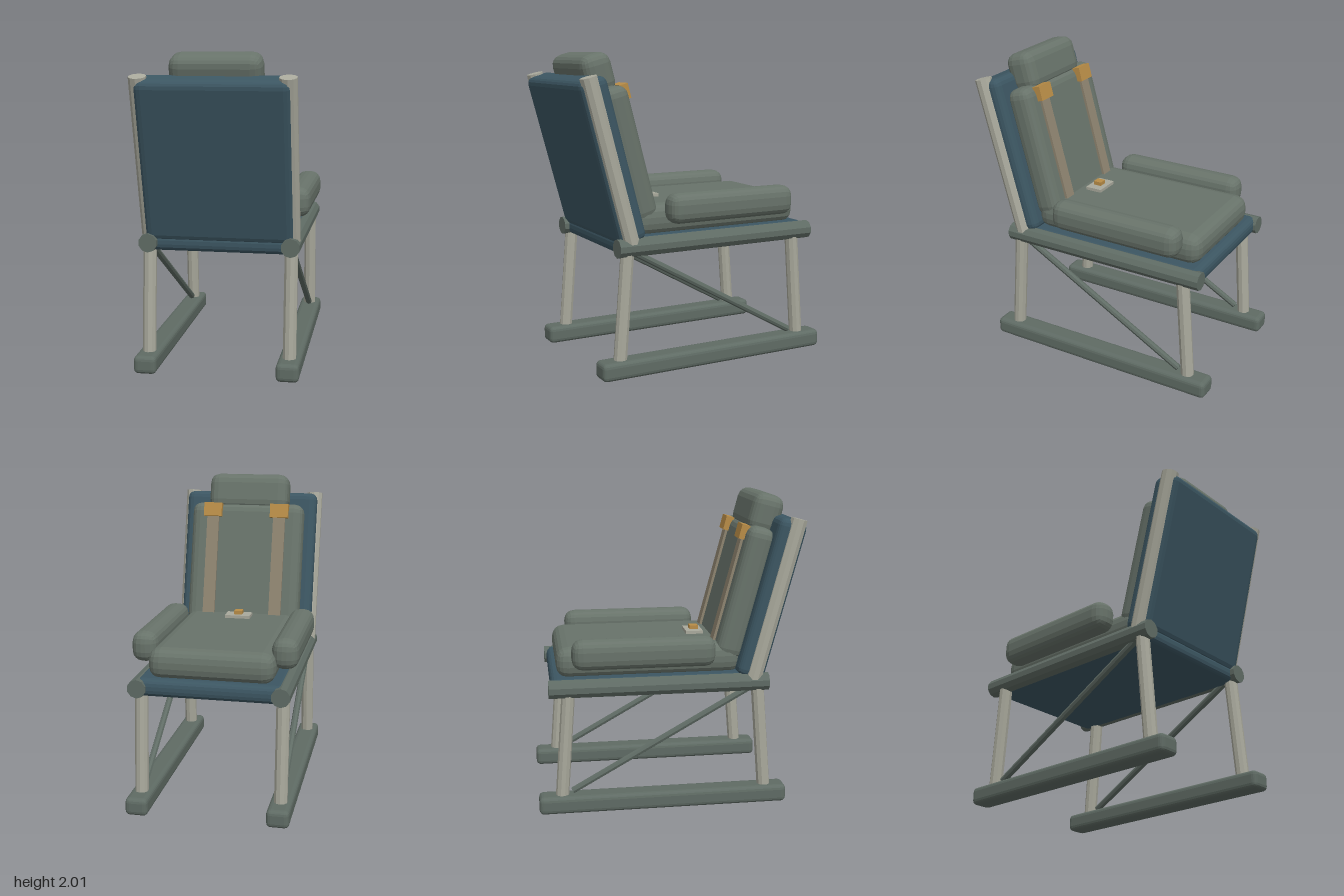
import * as THREE from 'three';
import { RoundedBoxGeometry } from 'three/addons/geometries/RoundedBoxGeometry.js';

const mat = (name, color) => {
  const m = new THREE.MeshStandardMaterial({ color });
  m.name = name;
  return m;
};

export function createModel() {
  const cushion = mat('grey green cushion', 0x68736a);
  const frame = mat('dark green frame', 0x5f6b64);
  const shell = mat('slate blue shell', 0x3c5662);
  const tube = mat('pale grey tube', 0xa9a99c);
  const strapTan = mat('tan strap', 0x8e8470);
  const brass = mat('brass', 0xb98d47);

  const model = new THREE.Group();
  model.name = 'lounge chair';

  const facet = (g) => {
    const f = g.index ? g.toNonIndexed() : g;
    f.computeVertexNormals();
    return f;
  };
  const add = (parent, name, geometry, material, pos) => {
    const m = new THREE.Mesh(geometry, material);
    m.name = name;
    m.position.set(...pos);
    parent.add(m);
    return m;
  };
  // box with softened, faceted edges
  const pad = (parent, name, size, radius, pos, material) =>
    add(parent, name, facet(new RoundedBoxGeometry(...size, 2, radius)), material, pos);
  const block = (parent, name, size, pos, material) =>
    add(parent, name, new THREE.BoxGeometry(...size), material, pos);
  // faceted tube between two points
  const rod = (parent, name, a, b, radius, material, sides = 10) => {
    const from = new THREE.Vector3(...a), to = new THREE.Vector3(...b);
    const dir = to.clone().sub(from);
    const g = facet(new THREE.CylinderGeometry(radius, radius, dir.length(), sides));
    const m = add(parent, name, g, material, from.add(to).multiplyScalar(0.5).toArray());
    m.quaternion.setFromUnitVectors(new THREE.Vector3(0, 1, 0), dir.normalize());
    return m;
  };

  // seat
  pad(model, 'seatPan', [0.95, 0.115, 1.37], 0.045, [0, 0.82, -0.085], shell);
  pad(model, 'seatCushion', [0.8, 0.2, 1.2], 0.08, [0, 0.96, -0.13], cushion);
  block(model, 'bucklePlate', [0.174, 0.04, 0.115], [0, 1.06, 0.212], tube);
  block(model, 'buckleButton', [0.056, 0.05, 0.056], [0, 1.08, 0.217], brass);

  // reclined back: local y runs up the back, local -z faces the sitter
  const back = new THREE.Group();
  back.name = 'backrest';
  back.position.set(0, 0.865, 0.54);
  back.rotation.x = 0.26;
  model.add(back);
  pad(back, 'backPanel', [0.95, 1.05, 0.185], 0.05, [0, 0.495, -0.023], shell);
  pad(back, 'backCushion', [0.8, 0.87, 0.18], 0.065, [0, 0.483, -0.178], cushion);
  pad(back, 'headrest', [0.57, 0.26, 0.205], 0.07, [0, 1.0, -0.156], cushion);

  for (const s of [1, -1]) {
    const x = s * 0.45;
    // back posts, shoulder straps and their buckles
    rod(back, 'backPost', [x, -0.03, 0], [x, 1.033, 0], 0.055, tube);
    block(back, 'shoulderStrap', [0.085, 0.75, 0.03], [s * 0.237, 0.49, -0.27], strapTan);
    block(back, 'strapBuckle', [0.128, 0.095, 0.055], [s * 0.237, 0.859, -0.278], brass);
    // armrests, side rails and ground skids
    pad(model, 'armrest', [0.168, 0.195, 0.915], 0.07, [s * 0.446, 1.037, -0.178], cushion);
    rod(model, 'sideRail', [x, 0.818, 0.63], [x, 0.818, -0.785], 0.06, frame);
    pad(model, 'skid', [0.145, 0.115, 1.62], 0.03, [x, 0.0575, -0.053], frame);
    // legs and diagonal brace
    rod(model, 'rearLeg', [x, 0.09, 0.617], [x, 0.8, 0.56], 0.043, tube);
    rod(model, 'frontLeg', [x, 0.09, -0.714], [x, 0.8, -0.66], 0.043, tube);
    rod(model, 'brace', [x, 0.8, 0.54], [x, 0.135, -0.645], 0.022, frame, 8);
  }
  return model;
}
